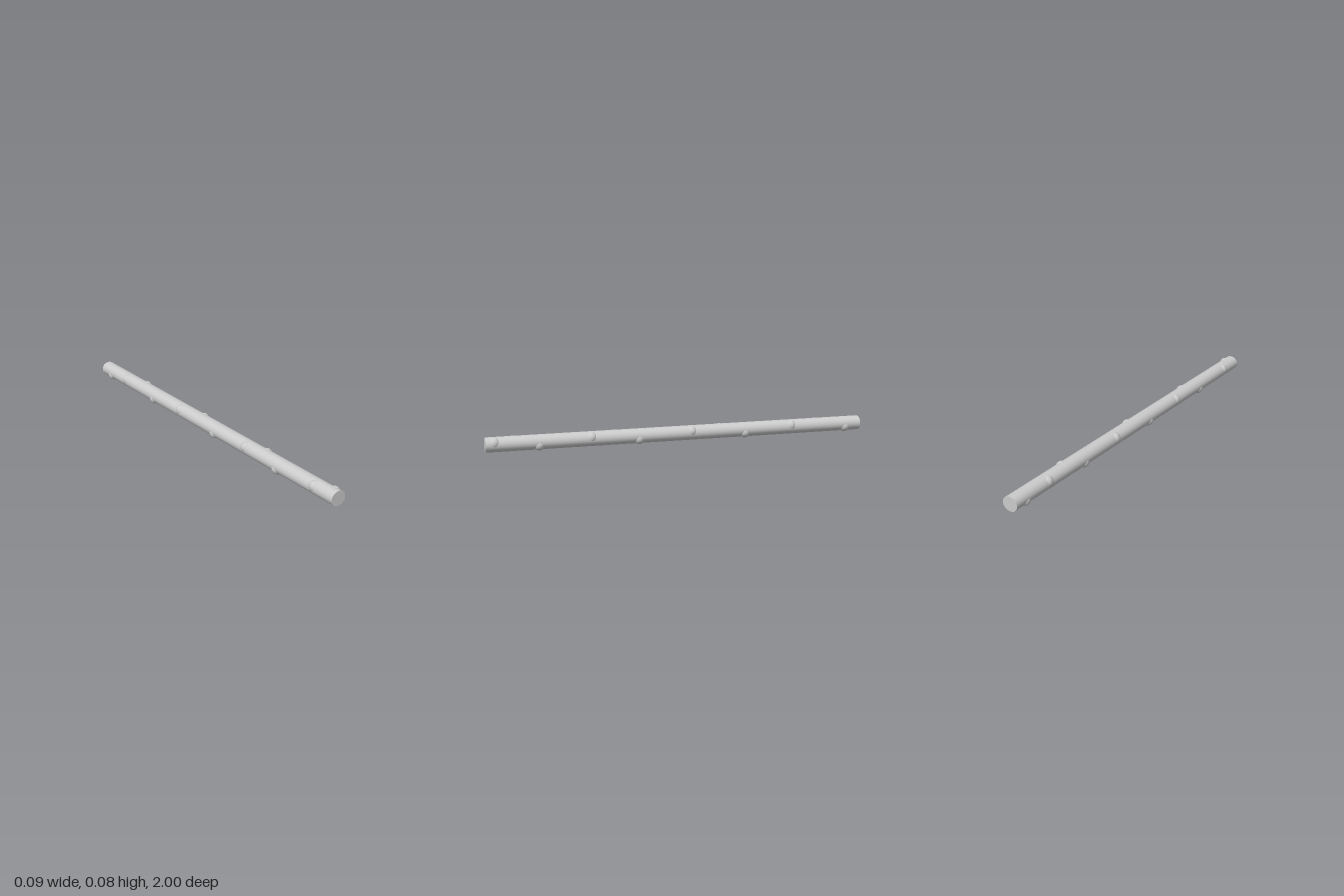
import * as THREE from 'three';

export function createModel() {
  const group = new THREE.Group();
  const material = new THREE.MeshStandardMaterial({ color: 0xcccccc });

  // Long rod with a slightly flattened round section
  const rodGeometry = new THREE.CylinderGeometry(1, 1, 2, 48);
  rodGeometry.rotateX(Math.PI / 2).scale(0.041, 0.0375, 1);
  const rod = new THREE.Mesh(rodGeometry, material);
  rod.name = 'rod';
  rod.position.y = 0.041;
  group.add(rod);

  // Four rows of round knobs, sunk into the rod
  const rows = [
    { name: 'upperLeftKnob', x: 0.016, y: 0.05, z: [0.955, 0.47, -0.055, -0.605] },
    { name: 'lowerLeftKnob', x: 0.016, y: 0.029, z: [0.735, 0.225, -0.345, -0.915] },
    { name: 'upperRightKnob', x: -0.0175, y: 0.049, z: [0.86, 0.35, -0.215, -0.755] },
    { name: 'lowerRightKnob', x: -0.0155, y: 0.029, z: [0.59, 0.088, -0.475, -0.918] },
  ];
  const knobGeometry = new THREE.SphereGeometry(0.0285, 32, 20);
  for (const row of rows) {
    for (const z of row.z) {
      const knob = new THREE.Mesh(knobGeometry, material);
      knob.name = row.name;
      knob.position.set(row.x, row.y, z);
      group.add(knob);
    }
  }
  return group;
}
